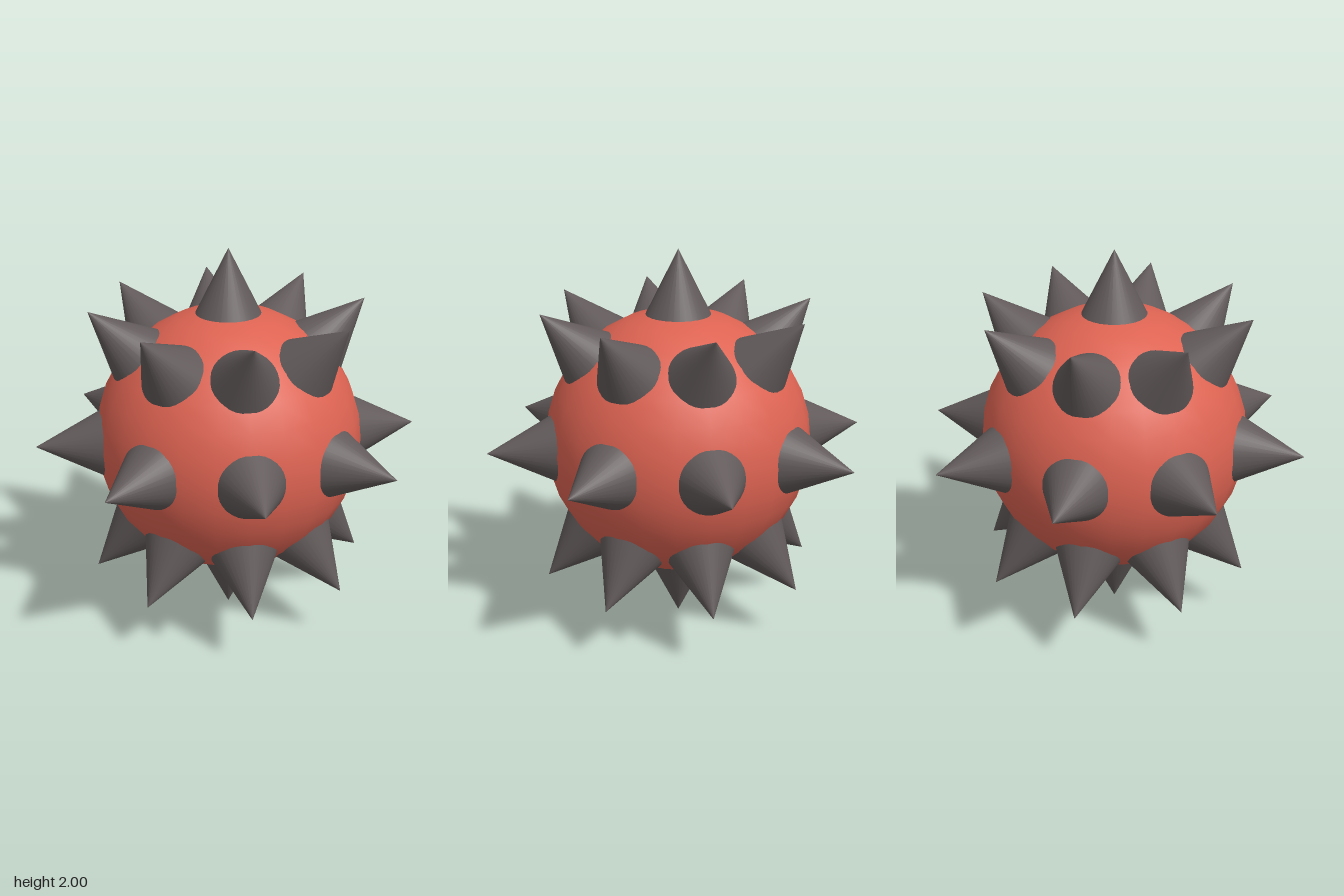
import * as THREE from 'three';

const BODY_RADIUS = 0.69;
const SPIKE_BASE = 0.6;   // distance from centre to the buried spike base
const SPIKE_RADIUS = 0.2;

export function createModel() {
  const model = new THREE.Group();
  model.name = 'spikedBall';
  const red = new THREE.MeshStandardMaterial({ color: 0xdd6352 });
  const grey = new THREE.MeshStandardMaterial({ color: 0x625a5a });

  // Round body
  const body = new THREE.Mesh(new THREE.SphereGeometry(BODY_RADIUS, 24, 16), red);
  body.name = 'body';
  body.position.y = 1;
  model.add(body);

  // Spikes: one cone shape, its tip one unit from the centre
  const height = 1 - SPIKE_BASE;
  const cone = new THREE.ConeGeometry(SPIKE_RADIUS, height, 32);
  cone.translate(0, SPIKE_BASE + height / 2, 0);
  const up = new THREE.Vector3(0, 1, 0);
  const spikes = new THREE.Group();
  spikes.name = 'spikes';
  spikes.position.y = 1;
  model.add(spikes);

  const addSpike = (name, polar, around) => {
    const spike = new THREE.Mesh(cone, grey);
    spike.name = name;
    const direction = new THREE.Vector3().setFromSphericalCoords(1, polar, around);
    spike.quaternion.setFromUnitVectors(up, direction);
    spikes.add(spike);
  };

  // Poles, then three rings of eight
  addSpike('topSpike', 0, 0);
  addSpike('bottomSpike', Math.PI, 0);
  ['upperSpike', 'middleSpike', 'lowerSpike'].forEach((name, ring) => {
    for (let i = 0; i < 8; i++) {
      addSpike(`${name}${i + 1}`, (ring + 1) * Math.PI / 4, i * Math.PI / 4);
    }
  });

  return model;
}
